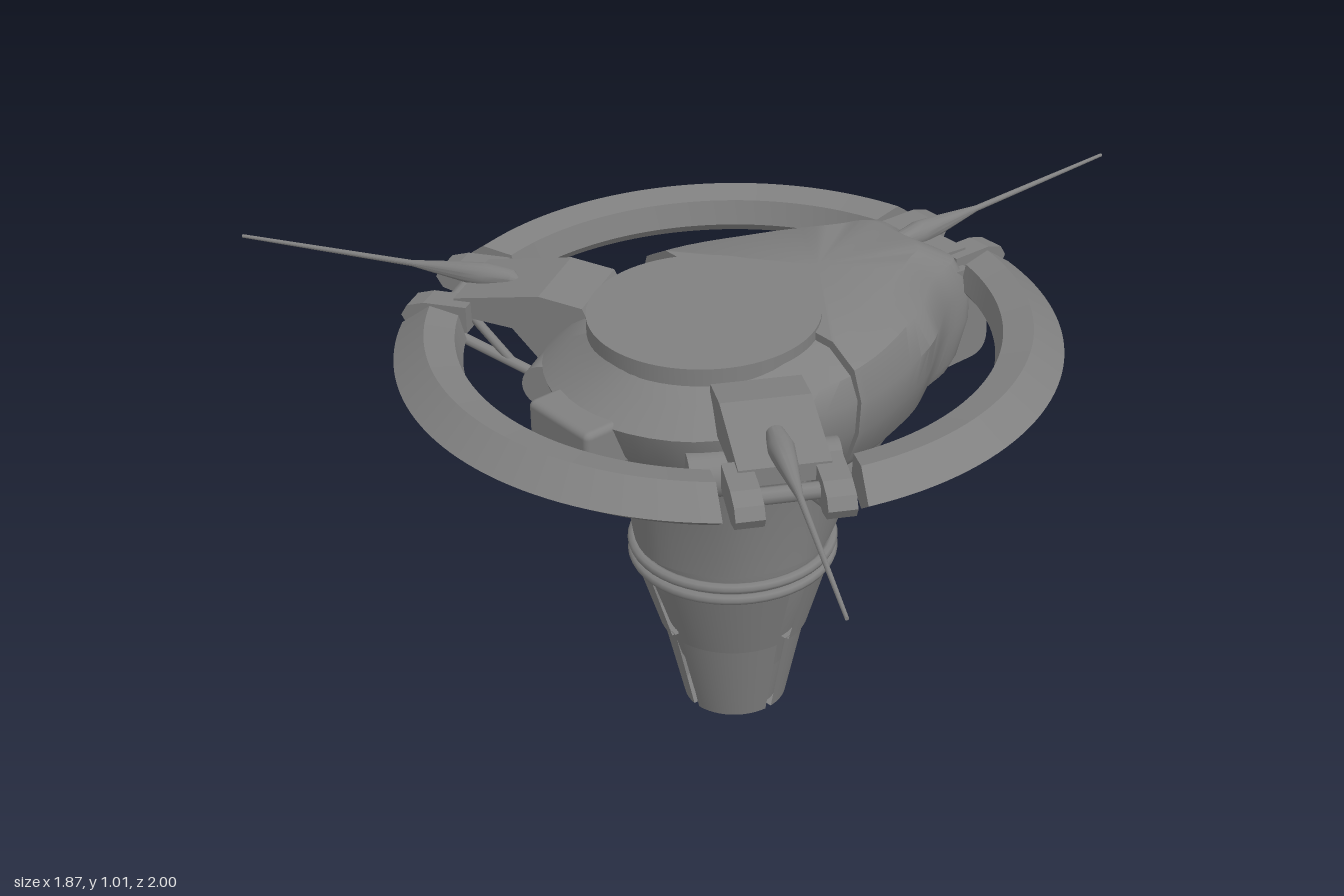
import * as THREE from 'three';
import { toCreasedNormals } from 'three/addons/utils/BufferGeometryUtils.js';
import { RoundedBoxGeometry } from 'three/addons/geometries/RoundedBoxGeometry.js';

const AXIS_X = -0.22; // vertical axis shared by stem, ring and arms
const V2 = (p) => new THREE.Vector2(p[0], p[1]);

// Skin a list of closed cross-sections and cap both ends
function loft(rows, crease = 0.6) {
  const n = rows[0].length, pos = [], idx = [];
  rows.forEach((row) => row.forEach((p) => pos.push(p.x, p.y, p.z)));
  for (let i = 0; i < rows.length - 1; i++) {
    for (let j = 0; j < n; j++) {
      const a = i * n + j, b = i * n + (j + 1) % n;
      idx.push(a, a + n, b, b, a + n, b + n);
    }
  }
  [0, rows.length - 1].forEach((r) => {
    const c = new THREE.Vector3();
    rows[r].forEach((p) => c.addScaledVector(p, 1 / n));
    const k = pos.length / 3;
    pos.push(c.x, c.y, c.z);
    for (let j = 0; j < n; j++) {
      const a = r * n + j, b = r * n + (j + 1) % n;
      idx.push(k, r ? b : a, r ? a : b);
    }
  });
  const g = new THREE.BufferGeometry();
  g.setAttribute('position', new THREE.Float32BufferAttribute(pos, 3));
  g.setIndex(idx);
  return toCreasedNormals(g, crease);
}

// Closed plan outline from a mirrored half, nose to rear
function outline(y, half) {
  const other = half.slice(1, -1).reverse().map(([x, z]) => [x, -z]);
  const pts = half.concat(other).map(([x, z]) => new THREE.Vector3(x, y, z));
  return new THREE.CatmullRomCurve3(pts, true).getPoints(72).slice(0, 72);
}

function lathe(points, segments = 48, start = 0, length = Math.PI * 2) {
  return toCreasedNormals(new THREE.LatheGeometry(points.map(V2), segments, start, length), 0.5);
}

// Side profile in (radius, height), extruded to a width centred on z
function profile(points, width, z = 0) {
  const g = new THREE.ExtrudeGeometry(new THREE.Shape(points.map(V2)), { depth: width, bevelEnabled: false });
  return g.translate(0, 0, z - width / 2);
}

export function createModel() {
  const model = new THREE.Group();
  const grey = new THREE.MeshStandardMaterial({ color: 0x808080, side: THREE.DoubleSide });
  grey.name = 'plain grey';
  const add = (parent, name, geo, x = 0, y = 0, z = 0) => {
    const m = new THREE.Mesh(geo, grey);
    m.name = name;
    m.position.set(x, y, z);
    parent.add(m);
    return m;
  };
  const rod = (parent, name, a, b, r) => {
    const p = new THREE.Vector3(...a), q = new THREE.Vector3(...b);
    const m = add(parent, name, new THREE.CylinderGeometry(r, r, p.distanceTo(q), 10));
    m.position.copy(p).lerp(q, 0.5);
    m.quaternion.setFromUnitVectors(new THREE.Vector3(0, 1, 0), q.sub(p).normalize());
  };

  // Stem: slit nozzle, skirt plates over a core, collar
  const stem = new THREE.Group();
  stem.name = 'stem';
  stem.position.x = AXIS_X;
  model.add(stem);
  add(stem, 'stemCore', lathe([[0, 0.12], [0.125, 0.12], [0.15, 0.21], [0.21, 0.4], [0.215, 0.46], [0, 0.46]]));
  for (let i = 0; i < 4; i++) {
    const wall = [[0.095, 0], [0.116, 0], [0.163, 0.212], [0.14, 0.212], [0.095, 0]];
    add(stem, 'nozzleWall', lathe(wall, 12, i * Math.PI / 2 + 0.07, Math.PI / 2 - 0.14));
    const plate = [[0.15, 0.21], [0.169, 0.21], [0.222, 0.385], [0.2, 0.385], [0.15, 0.21]];
    add(stem, 'skirtPlate', lathe(plate, 12, i * Math.PI / 2 + 0.1, Math.PI / 2 - 0.2));
  }
  [0.393, 0.422].forEach((y) => {
    add(stem, 'collarRim', new THREE.TorusGeometry(0.223, 0.012, 8, 48).rotateX(Math.PI / 2), 0, y);
  });

  // Lower hull leaning out towards the tail
  add(model, 'lowerHull', loft([
    outline(0.45, [[0, 0], [-0.01, 0.09], [-0.05, 0.15], [-0.12, 0.2], [-0.22, 0.225], [-0.37, 0.165], [-0.452, 0]]),
    outline(0.58, [[0.15, 0], [0.14, 0.11], [0.06, 0.15], [-0.06, 0.205], [-0.21, 0.237], [-0.38, 0.18], [-0.466, 0]]),
    outline(0.72, [[0.32, 0], [0.31, 0.125], [0.16, 0.16], [0, 0.22], [-0.2, 0.262], [-0.41, 0.2], [-0.485, 0]]),
  ]));

  // Upper hull and the slightly larger hood over its tail half
  const upper = [
    outline(0.71, [[0.32, 0], [0.31, 0.13], [0.18, 0.18], [0.04, 0.25], [-0.2, 0.29], [-0.43, 0.21], [-0.5, 0]]),
    outline(0.74, [[0.34, 0], [0.33, 0.135], [0.2, 0.19], [0.05, 0.27], [-0.2, 0.315], [-0.46, 0.23], [-0.54, 0]]),
    outline(0.82, [[0.36, 0], [0.36, 0.14], [0.26, 0.17], [0.09, 0.275], [-0.2, 0.345], [-0.5, 0.25], [-0.61, 0]]),
    outline(0.9, [[0.36, 0], [0.36, 0.14], [0.26, 0.175], [0.1, 0.28], [-0.2, 0.352], [-0.53, 0.25], [-0.64, 0]]),
    outline(0.95, [[0.33, 0], [0.33, 0.12], [0.24, 0.15], [0.08, 0.25], [-0.2, 0.33], [-0.48, 0.22], [-0.57, 0]]),
    outline(0.99, [[0.27, 0], [0.26, 0.08], [0.2, 0.11], [0.04, 0.19], [-0.2, 0.265], [-0.44, 0.17], [-0.53, 0]]),
  ];
  add(model, 'upperHull', loft(upper));
  add(model, 'hood', loft(upper.map((row) => row.map((p) =>
    new THREE.Vector3(Math.max(p.x, -0.17), p.y + (p.y > 0.9 ? 0.018 : 0), p.z * 1.03)))));
  add(model, 'topDisc', new THREE.CylinderGeometry(0.25, 0.25, 0.04, 64), -0.29, 0.995);
  add(model, 'rearBox', new RoundedBoxGeometry(0.12, 0.11, 0.2, 2, 0.015), -0.63, 0.855);

  // Tail block with rounded lower corner
  const tail = new THREE.Shape();
  tail.moveTo(0.28, 0.71).lineTo(0.37, 0.71);
  tail.quadraticCurveTo(0.42, 0.71, 0.42, 0.76);
  tail.lineTo(0.42, 0.89).lineTo(0.36, 0.94).lineTo(0.28, 0.95);
  add(model, 'tailBlock', new THREE.ExtrudeGeometry(tail, { depth: 0.29, bevelEnabled: false }).translate(0, 0, -0.145));

  // Three ring segments, each cut parallel to its neighbouring arms
  const section = [[0.57, 0.9], [0.585, 0.955], [0.65, 0.967], [0.717, 0.915], [0.655, 0.87], [0.585, 0.88]];
  for (let k = 0; k < 3; k++) {
    const rows = [];
    for (let i = 0; i <= 40; i++) {
      rows.push(section.map(([r, y]) => {
        const cut = Math.asin(0.145 / r), span = Math.PI * 2 / 3;
        const a = k * span + cut + (span - 2 * cut) * i / 40;
        return new THREE.Vector3(AXIS_X + r * Math.cos(a), y, r * Math.sin(a));
      }));
    }
    add(model, 'ringSegment', loft(rows, 0.35));
  }

  // Three fork arms with antennas, and lamps between them
  for (let k = 0; k < 3; k++) {
    const arm = new THREE.Group();
    arm.name = k ? 'sideArm' : 'tailArm';
    arm.position.x = AXIS_X;
    arm.rotation.y = k * Math.PI * 2 / 3;
    model.add(arm);
    if (k) {
      add(arm, 'armPlate', profile([[0.28, 0.95], [0.3, 0.99], [0.4, 1.003], [0.6, 0.965], [0.6, 0.925], [0.28, 0.9]], 0.19));
      add(arm, 'armBlock', profile([[0.24, 0.75], [0.32, 0.745], [0.4, 0.82], [0.5, 0.93], [0.24, 0.93]], 0.15));
      add(arm, 'drum', new THREE.CylinderGeometry(0.05, 0.05, 0.32, 24).rotateX(Math.PI / 2), 0.37, 0, 0).position.y = 0.82;
    } else {
      add(arm, 'armPlate', profile([[0.5, 0.93], [0.5, 0.975], [0.61, 0.965], [0.61, 0.89]], 0.2));
    }
    [-1, 1].forEach((s) => {
      add(arm, 'prong', profile([[0.56, 0.9], [0.56, 0.962], [0.66, 0.958], [0.7, 0.945], [0.715, 0.92], [0.7, 0.895], [0.66, 0.885]], 0.06, s * 0.092));
      if (k) {
        rod(arm, 'strut', [0.67, 0.895, s * 0.085], [0.32, 0.755, s * 0.07], 0.012);
        rod(arm, 'braceRod', [0.56, 0.92, s * 0.085], [0.48, 0.82, s * 0.075], 0.01);
      }
    });
    rod(arm, 'hingePin', [0.63, 0.92, -0.12], [0.63, 0.92, 0.12], 0.018);
    // Antenna: spindle base tapering into a long needle
    const needle = lathe([[0, 0.48], [0.02, 0.5], [0.028, 0.56], [0.022, 0.62], [0.012, 0.7], [0.007, 0.74], [0.004, 1.155], [0, 1.155]], 16);
    add(arm, 'antenna', needle.rotateZ(-Math.PI / 2), 0, 0.98);

    const a = Math.PI / 3 + k * Math.PI * 2 / 3;
    const lamp = new THREE.Group();
    lamp.name = 'lamp';
    lamp.position.set(AXIS_X + 0.262 * Math.cos(a), 0.65, 0.262 * Math.sin(a));
    lamp.rotation.set(0, -a, 0.45);
    model.add(lamp);
    add(lamp, 'lampHousing', lathe([[0, -0.03], [0.038, -0.03], [0.044, -0.015], [0.044, 0.03], [0.03, 0.055], [0, 0.062]], 20));
    add(lamp, 'lampBulb', new THREE.SphereGeometry(0.03, 16, 10), 0, -0.035);
  }
  return model;
}
